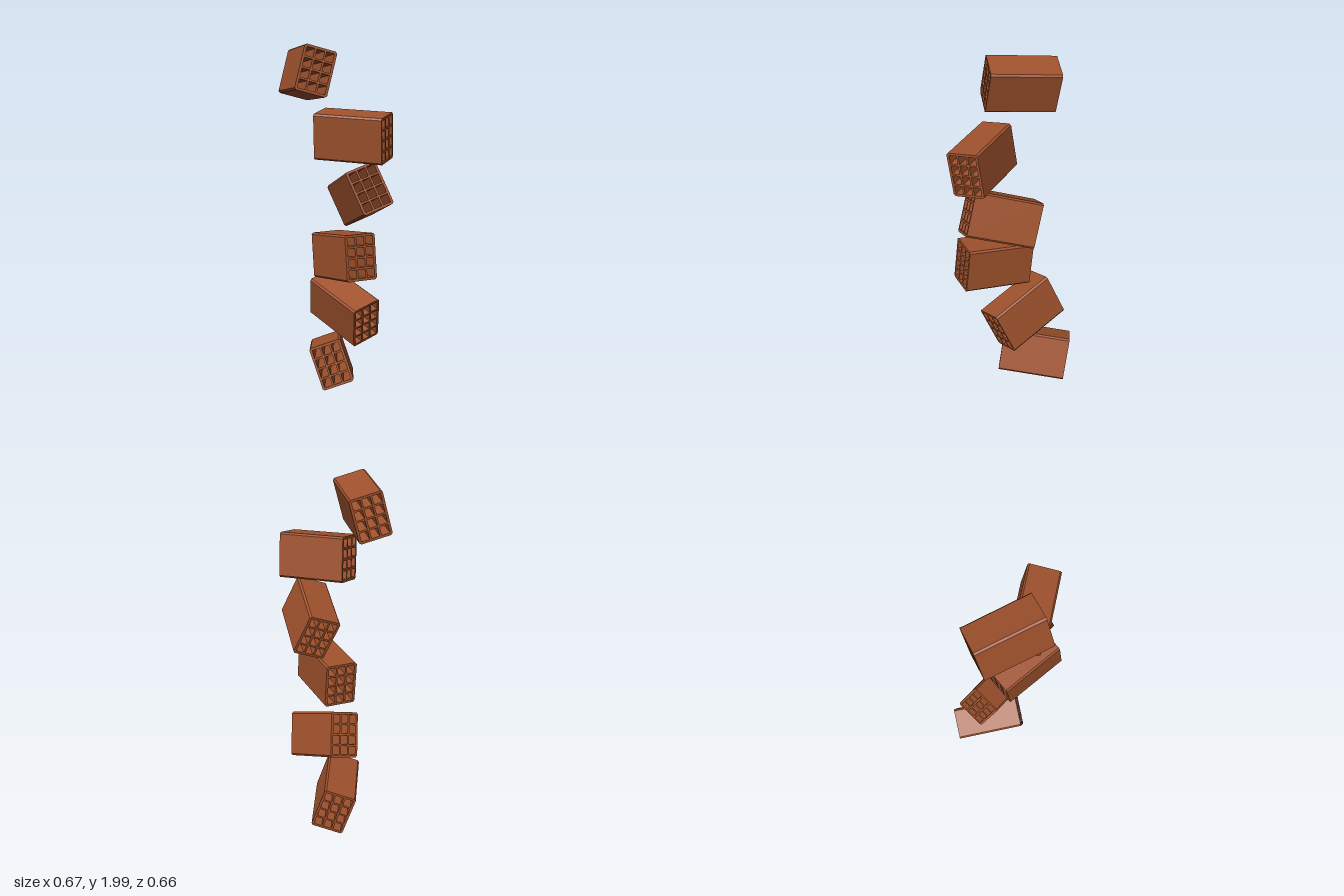
import * as THREE from 'three';

const WIDTH = 0.184, HEIGHT = 0.252, LENGTH = 0.386;
const CHAMFER = 0.01, WALL = 0.014, WEB = 0.011;
const COLS = 3, ROWS = 4;

// Hollow block: chamfered outline with a grid of cells running the full length
function brickGeometry() {
  const w = WIDTH / 2, h = HEIGHT / 2, c = CHAMFER;
  const outline = new THREE.Shape([
    [-w + c, -h], [w - c, -h], [w, -h + c], [w, h - c],
    [w - c, h], [-w + c, h], [-w, h - c], [-w, -h + c],
  ].map(([x, y]) => new THREE.Vector2(x, y)));

  const cw = (WIDTH - 2 * WALL - (COLS - 1) * WEB) / COLS;
  const ch = (HEIGHT - 2 * WALL - (ROWS - 1) * WEB) / ROWS;
  for (let i = 0; i < COLS; i++) {
    for (let j = 0; j < ROWS; j++) {
      const x = -w + WALL + i * (cw + WEB), y = -h + WALL + j * (ch + WEB);
      outline.holes.push(new THREE.Path([
        new THREE.Vector2(x, y), new THREE.Vector2(x, y + ch),
        new THREE.Vector2(x + cw, y + ch), new THREE.Vector2(x + cw, y),
      ]));
    }
  }
  const geometry = new THREE.ExtrudeGeometry(outline, { depth: LENGTH, bevelEnabled: false });
  return geometry.translate(0, 0, -LENGTH / 2);
}

// Each brick: centre, direction of its length, direction of its height
const BRICKS = [
  { at: [-0.037, 0.178, -0.114], along: [0.037, 0.053, 0.38], up: [-0.082, 0.229, -0.024] },
  { at: [0.04, 0.513, -0.056], along: [0.27, -0.124, 0.24], up: [0.013, 0.232, 0.106] },
  { at: [0.053, 0.844, 0.108], along: [0.217, 0.044, 0.317], up: [-0.018, 0.25, -0.024] },
  { at: [0.135, 1.177, 0.05], along: [0.135, 0.118, 0.339], up: [-0.103, 0.216, -0.034] },
  { at: [0.108, 1.508, 0.151], along: [0.373, -0.015, 0.107], up: [0, 0.249, 0.036] },
  { at: [-0.161, 1.838, -0.007], along: [0.143, 0.037, 0.362], up: [0.054, 0.241, -0.046] },
];

export function createModel() {
  const group = new THREE.Group();
  group.name = 'brickStack';
  const clay = new THREE.MeshStandardMaterial({ color: 0xa0522d });
  clay.name = 'fired clay';
  const geometry = brickGeometry();

  BRICKS.forEach(({ at, along, up }, i) => {
    const z = new THREE.Vector3(...along).normalize();
    const x = new THREE.Vector3(...up).cross(z).normalize();
    const y = z.clone().cross(x);
    const brick = new THREE.Mesh(geometry, clay);
    brick.name = `hollowBrick${i + 1}`;
    brick.quaternion.setFromRotationMatrix(new THREE.Matrix4().makeBasis(x, y, z));
    brick.position.set(...at);
    group.add(brick);
  });
  return group;
}
